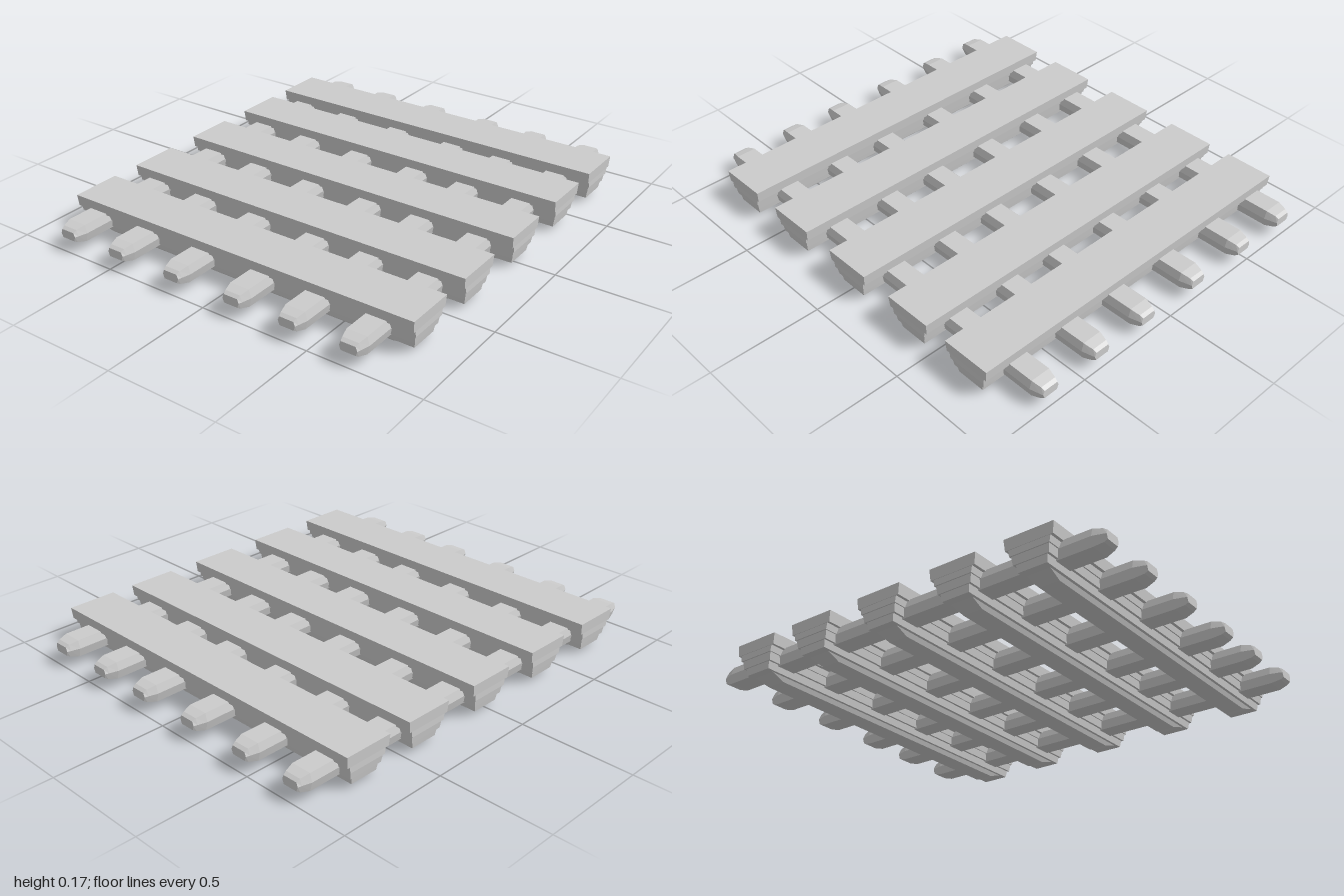
import * as THREE from 'three';

const material = new THREE.MeshStandardMaterial({ color: 0xcccccc, flatShading: true });

// Joins a row of convex rings (counter-clockwise seen from the last ring) into a capped solid
function loft(rings) {
  const n = rings[0].length, index = [];
  rings.slice(1).forEach((_, r) => {
    for (let i = 0; i < n; i++) {
      const a = r * n + i, b = r * n + (i + 1) % n;
      index.push(a, b, b + n, a, b + n, a + n);
    }
  });
  const last = (rings.length - 1) * n;
  for (let i = 1; i < n - 1; i++) {
    index.push(0, i + 1, i, last, last + i, last + i + 1);
  }
  const geometry = new THREE.BufferGeometry();
  geometry.setAttribute('position', new THREE.Float32BufferAttribute(rings.flat(2), 3));
  geometry.setIndex(index);
  const flat = geometry.toNonIndexed();
  flat.computeVertexNormals();
  return flat;
}

// Stepped slat: [height, half length, half depth] from the ground up
function slatGeometry() {
  const steps = [
    [0, 0.72, 0.045], [0.02, 0.79, 0.053],
    [0.02, 0.825, 0.065], [0.052, 0.83, 0.07],
    [0.052, 0.835, 0.08], [0.087, 0.84, 0.085],
    [0.087, 0.845, 0.09], [0.115, 0.845, 0.094],
    [0.115, 0.847, 0.107], [0.165, 0.85, 0.112],
  ];
  return loft(steps.map(([y, x, z]) => [[x, y, z], [x, y, -z], [-x, y, -z], [-x, y, z]]));
}

// Six-sided bar with tapered ends: [z, width scale, height scale]
function barGeometry() {
  const section = [[0.045, -0.038], [0.055, 0.002], [0.045, 0.038],
    [-0.045, 0.038], [-0.055, 0.002], [-0.045, -0.038]];
  const stations = [[-1, 0.72, 0.5], [-0.985, 0.8, 0.75], [-0.945, 1, 1],
    [0.945, 1, 1], [0.985, 0.8, 0.75], [1, 0.72, 0.5]];
  return loft(stations.map(([z, w, h]) => section.map(([x, y]) => [x * w, y * h, z])));
}

export function createModel() {
  const group = new THREE.Group();
  const add = (name, geometry, x, y, z) => {
    const mesh = new THREE.Mesh(geometry, material);
    mesh.name = name;
    mesh.position.set(x, y, z);
    group.add(mesh);
  };

  // Wide slats running left to right
  const slat = slatGeometry();
  [-0.722, -0.392, -0.017, 0.362, 0.718].forEach((z, i) => add(`slat${i + 1}`, slat, 0, 0, z));

  // Slim bars running front to back through the slats
  const bar = barGeometry();
  [-0.732, -0.459, -0.16, 0.145, 0.41, 0.685].forEach((x, i) => add(`bar${i + 1}`, bar, x, 0.084, 0));

  return group;
}
